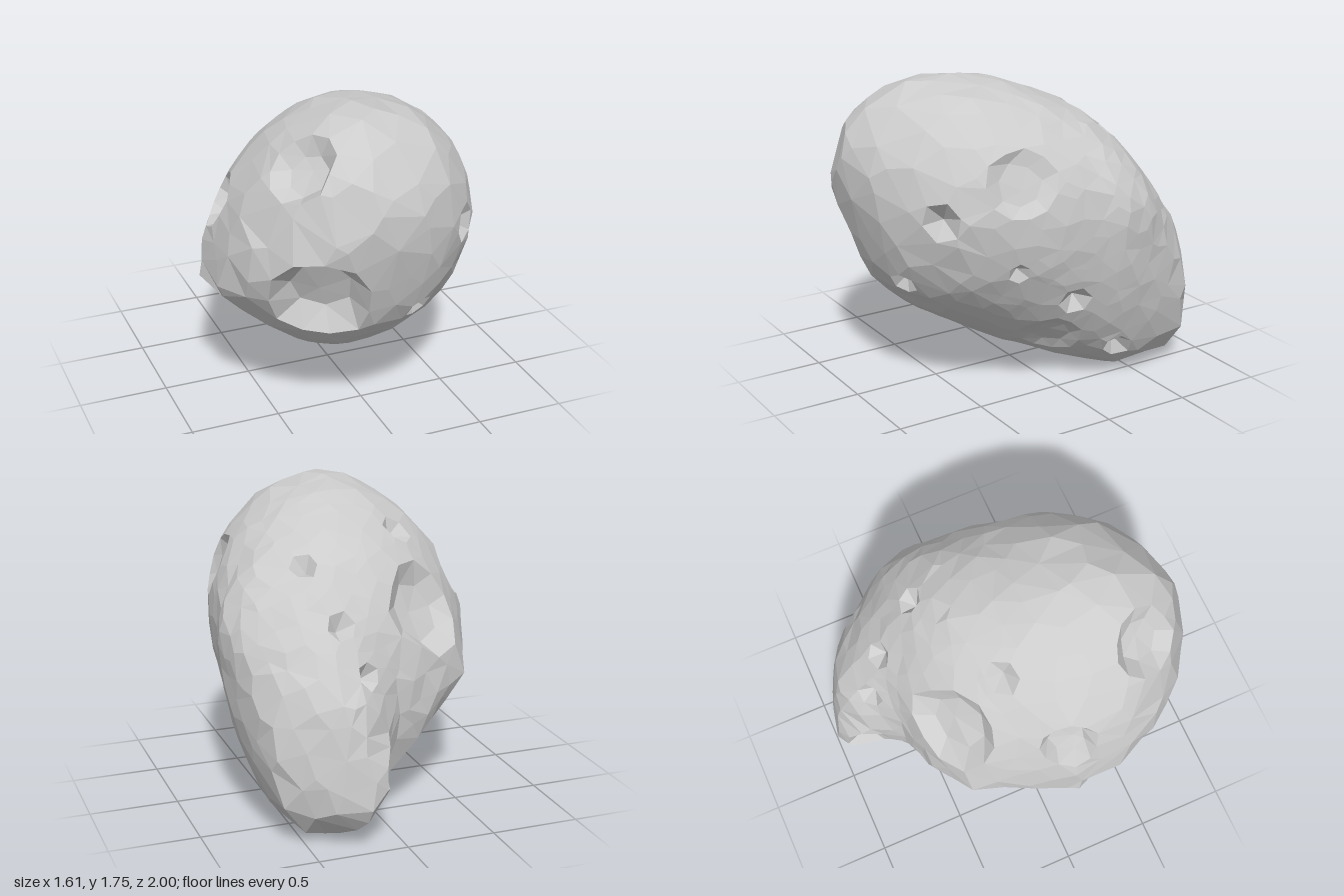
import * as THREE from 'three';
import { ConvexGeometry } from 'three/addons/geometries/ConvexGeometry.js';

const CENTRE = new THREE.Vector3(0.18, 0.82, -0.08);

// Cross-sections along z: z, x min, x max, y min, y max, then
// x of the top, x of the bottom, y of the left edge, y of the right edge
const SECTIONS = [
  [1, -0.16, -0.16, 1.27, 1.27, -0.16, -0.16, 1.27, 1.27],
  [0.95, -0.34, 0.18, 0.95, 1.47, -0.14, -0.1, 1.2, 1.22],
  [0.85, -0.52, 0.37, 0.66, 1.6, -0.1, -0.08, 1.06, 1.15],
  [0.62, -0.7, 0.6, 0.44, 1.73, -0.06, -0.12, 0.92, 1.1],
  [0.38, -0.79, 0.69, 0.3, 1.75, -0.02, -0.12, 0.8, 1.08],
  [0.12, -0.81, 0.75, 0.17, 1.71, 0, 0, 0.75, 1.05],
  [-0.1, -0.71, 0.77, 0.08, 1.63, 0.06, 0.1, 0.74, 1.05],
  [-0.26, -0.63, 0.8, 0.035, 1.56, 0.13, 0.2, 0.74, 1.07],
  [-0.43, -0.57, 0.77, 0.005, 1.42, 0.2, 0.3, 0.73, 1.0],
  [-0.58, -0.34, 0.72, 0.01, 1.23, 0.27, 0.32, 0.69, 0.8],
  [-0.65, -0.09, 0.7, 0.02, 1.14, 0.3, 0.31, 0.62, 0.7],
  [-0.78, 0.03, 0.65, 0.04, 0.97, 0.32, 0.3, 0.48, 0.5],
  [-0.9, 0.05, 0.48, 0.1, 0.78, 0.26, 0.25, 0.42, 0.42],
  [-0.96, 0.1, 0.35, 0.16, 0.53, 0.22, 0.21, 0.33, 0.33],
  [-1, 0.2, 0.2, 0.24, 0.24, 0.2, 0.2, 0.24, 0.24],
];

// Craters: x, y, z, radius, depth
const CRATERS = [
  [-0.38, 0.83, 0.82, 0.29, 0.17], [-0.41, 1.53, 0.65, 0.2, 0.1],
  [-0.35, 1.16, -0.46, 0.28, 0.11], [-0.68, 1.19, 0.1, 0.17, 0.1],
  [0.65, 1.28, 0.33, 0.2, 0.055], [-0.13, 0.34, 0.38, 0.15, 0.05],
  [0.52, 0.27, 0.05, 0.18, 0.03], [0.18, 0.03, -0.36, 0.1, 0.06],
  [0.04, 0.43, -0.84, 0.12, 0.09],
  [-0.26, 1.48, -0.12, 0.1, 0.07], [0.36, 1.41, -0.38, 0.08, 0.07],
  [0.24, 1.14, -0.63, 0.09, 0.07], [0.13, 0.9, -0.77, 0.08, 0.07],
  [0.5, 1.11, 0.73, 0.11, 0.09], [0.2, 0.69, 0.79, 0.08, 0.07],
  [0.6, 0.8, 0.3, 0.06, 0.05], [0.67, 0.58, 0, 0.1, 0.08],
  [0.6, 0.22, -0.33, 0.09, 0.08],
];

function seeded(seed) {
  return () => {
    seed = (seed * 16807) % 2147483647;
    return seed / 2147483647;
  };
}

// How square a quarter of the section is: 2 is round, 1 straight
function squareness(right, top, z) {
  if (top) return right ? Math.max(1.75, 2 + 0.8 * Math.min(z, 0)) : 1.87;
  if (right) return 2.1 - 0.9 * Math.min(z, 0);
  return 1.23 + 0.8 * z * z - 0.18 * Math.exp(-(((z + 0.4) / 0.22) ** 2));
}

// Point on the smooth body, theta along z, phi around the section
function bodyPoint(theta, phi) {
  let i = 0;
  while (i < SECTIONS.length - 2 && theta > Math.acos(SECTIONS[i + 1][0])) i++;
  const a = SECTIONS[i], b = SECTIONS[i + 1];
  const ta = Math.acos(a[0]), tb = Math.acos(b[0]);
  const t = (theta - ta) / (tb - ta);
  const [, x0, x1, y0, y1, xt, xb, yl, yr] = a.map((v, k) => v + (b[k] - v) * t);
  const c = Math.cos(phi), s = Math.sin(phi), z = Math.cos(theta);
  const cx = s > 0 ? xt : xb, cy = c > 0 ? yr : yl;
  const p = squareness(c > 0, s > 0, z);
  const n = Math.pow(Math.pow(Math.abs(c), p) + Math.pow(Math.abs(s), p), -1 / p);
  return new THREE.Vector3(
    cx + c * n * (c > 0 ? x1 - cx : cx - x0),
    cy + s * n * (s > 0 ? y1 - cy : cy - y0),
    z);
}

// Returns a function that drops any point radially onto the body
function makeProjector() {
  const samples = [];
  for (let i = 0; i < 130; i++) {
    for (let j = 0; j < 190; j++) {
      const d = bodyPoint(((i + 0.5) / 130) * Math.PI, (j / 190) * Math.PI * 2).sub(CENTRE);
      const r = d.length();
      samples.push({ d: d.divideScalar(r), r });
    }
  }
  return (q) => {
    const dir = q.clone().sub(CENTRE).normalize();
    let sum = 0, weight = 0, best = -2, nearest = 1;
    for (const { d, r } of samples) {
      const dot = dir.dot(d);
      if (dot > best) { best = dot; nearest = r; }
      if (dot > 0.999) {
        const w = (dot - 0.999) ** 2;
        sum += w * r;
        weight += w;
      }
    }
    return dir.multiplyScalar(weight > 0 ? sum / weight : nearest).add(CENTRE);
  };
}

function buildRock() {
  const rand = seeded(4711);
  const project = makeProjector();
  const directions = [];
  const placed = new Map();
  const key = (x, y, z) => `${x},${y},${z}`;

  // Surface point decides the triangulation, final point is where it ends up
  const add = (surface, final) => {
    const d = surface.clone().sub(CENTRE).normalize();
    d.set(Math.fround(d.x), Math.fround(d.y), Math.fround(d.z));
    directions.push(d);
    placed.set(key(d.x, d.y, d.z), final);
  };

  // Ring of surface points round a crater centre
  const ring = (centre, normal, radius, count, turn, jitter) => {
    const u = new THREE.Vector3(0.3, 1, 0.2).cross(normal).normalize();
    const v = normal.clone().cross(u);
    return Array.from({ length: count }, (_, k) => {
      const a = ((k + turn) / count) * Math.PI * 2;
      const r = radius * (1 + (rand() - 0.5) * jitter);
      return project(centre.clone().addScaledVector(u, Math.cos(a) * r).addScaledVector(v, Math.sin(a) * r));
    });
  };

  // Craters: rim, floor ring and a lowest point
  const taken = CRATERS.map(([x, y, z, r, depth]) => {
    const centre = project(new THREE.Vector3(x, y, z));
    const probe = ring(centre, centre.clone().sub(CENTRE).normalize(), r, 8, 0, 0);
    const normal = new THREE.Vector3();
    probe.forEach((p, k) => normal.add(
      p.clone().sub(centre).cross(probe[(k + 1) % 8].clone().sub(centre))));
    normal.normalize();
    const big = r > 0.13;
    const sink = (p, d) => add(p, p.clone().addScaledVector(normal, -d));
    ring(centre, normal, r, big ? 11 : 6, rand(), 0.2).forEach((p) => sink(p, 0));
    if (big) ring(centre, normal, r * 0.6, 7, rand(), 0.2).forEach((p) => sink(p, depth * 0.85));
    sink(ring(centre, normal, r * 0.15, 1, rand(), 0)[0], depth);
    return { centre, reach: r * 1.1 + 0.025 };
  });
  const free = (p) => taken.every((c) => c.centre.distanceTo(p) > c.reach);

  // Outermost points of every section
  for (const [z] of SECTIONS) {
    for (let k = 0; k < 4; k++) {
      const p = bodyPoint(Math.acos(z), (k * Math.PI) / 2);
      if (!free(p)) continue;
      add(p, p);
      taken.push({ centre: p, reach: 0.06 });
    }
  }

  // Uneven spread of points over the rest of the body
  const COUNT = 520;
  for (let i = 0; i < COUNT; i++) {
    const y = 1 - (2 * (i + 0.5)) / COUNT;
    const a = i * Math.PI * (3 - Math.sqrt(5));
    const s = Math.sqrt(1 - y * y);
    const j = () => (rand() - 0.5) * 0.09;
    const p = project(new THREE.Vector3(Math.cos(a) * s + j(), y + j(), Math.sin(a) * s + j()).add(CENTRE));
    if (!free(p)) continue;
    const lump = 1 + (rand() - 0.5) * 0.016;
    add(p, p.clone().sub(CENTRE).multiplyScalar(lump).add(CENTRE));
  }

  // Triangulate on the sphere, then move every corner to its place
  const geometry = new ConvexGeometry(directions);
  const pos = geometry.attributes.position;
  for (let i = 0; i < pos.count; i++) {
    const p = placed.get(key(pos.getX(i), pos.getY(i), pos.getZ(i)));
    pos.setXYZ(i, p.x, p.y, p.z);
  }
  geometry.computeVertexNormals();
  return geometry;
}

export function createModel() {
  const group = new THREE.Group();
  group.name = 'asteroid';
  const rock = new THREE.Mesh(
    buildRock(), new THREE.MeshStandardMaterial({ color: 0xcccccc, flatShading: true }));
  rock.name = 'crateredRock';
  group.add(rock);
  return group;
}
